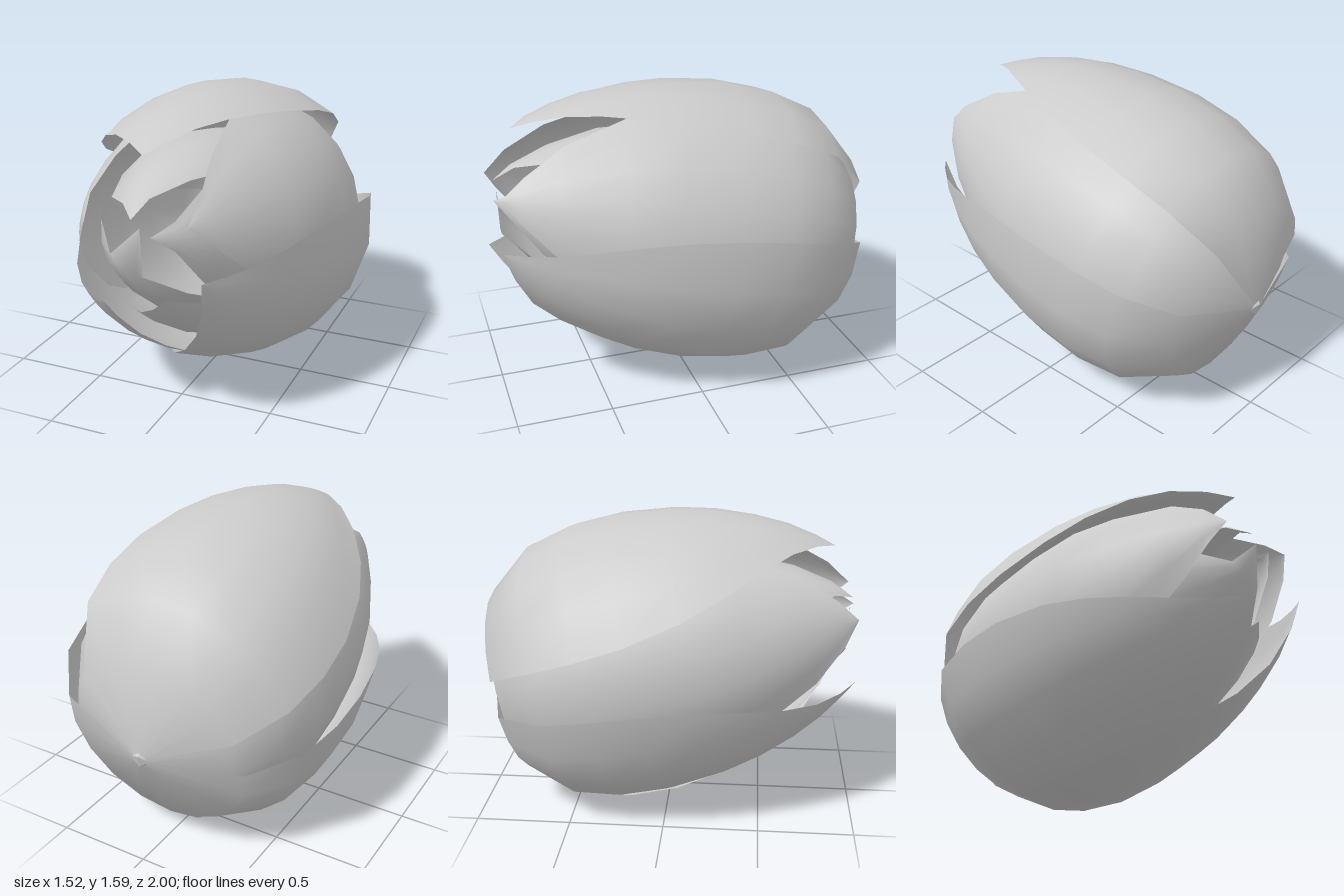
import * as THREE from 'three';

const material = new THREE.MeshStandardMaterial({ color: 0xcccccc, side: THREE.DoubleSide });

// Side profiles of the petal layers: [distance from the stem, radius]
const OUTER = [[0, 0.04], [0.13, 0.515], [0.375, 0.705], [0.63, 0.765], [0.89, 0.772],
  [1.18, 0.735], [1.4, 0.68], [1.6, 0.605], [1.76, 0.525], [1.89, 0.44], [1.98, 0.375]];
const MIDDLE = [[0, 0.04], [0.13, 0.45], [0.375, 0.61], [0.63, 0.67], [0.9, 0.67],
  [1.2, 0.64], [1.45, 0.57], [1.75, 0.44], [1.93, 0.34], [2.02, 0.27]];
const INNER = [[0.02, 0.04], [0.13, 0.36], [0.4, 0.49], [0.8, 0.53], [1.2, 0.51],
  [1.5, 0.44], [1.75, 0.32], [1.93, 0.19], [2.02, 0.09]];
// The innermost petal curls past the axis at its tip
const CORE = [...INNER.slice(0, -1), [2, -0.05]];

// from/to: the arc a petal covers around the axis, tip: where its point lies (degrees).
// blunt: higher stays wide for longer. lean: sideways shift in proportion to radius.
const PETALS = [
  { name: 'outerPetalTop', profile: OUTER, from: 54, to: 162, tip: 93, lean: 0.04 },
  { name: 'outerPetalRight', profile: OUTER, from: -110, to: 15, tip: -26 },
  { name: 'outerPetalLeft', profile: OUTER, scale: 0.985, from: 183, to: 287, tip: 244, length: 0.985 },
  { name: 'middlePetalRight', profile: MIDDLE, scale: 1.03, from: -25, to: 75, tip: 18, blunt: 8 },
  { name: 'middlePetalLeft', profile: MIDDLE, scale: 0.98, from: 111, to: 225, tip: 172, blunt: 8 },
  { name: 'middlePetalBottom', profile: OUTER, scale: 0.86, from: 228, to: 345, tip: 289, blunt: 6, length: 0.93 },
  { name: 'innerPetalTop', profile: INNER, scale: 0.95, from: 46, to: 172, tip: 104, blunt: 8 },
  { name: 'innerPetalRight', profile: INNER, scale: 0.96, from: -58, to: 64, tip: 10, blunt: 8 },
  { name: 'innerPetalBottom', profile: CORE, from: 160, to: 314, tip: 250, blunt: 12 },
];

// Sweeps coarse arcs along a profile, narrowing them to a point at the tip.
function petal({ name, profile, scale = 1, from, to, tip, blunt = 4, lean = 0, length = 1 }) {
  const cols = 6;
  const end = profile[profile.length - 1][0];
  const positions = [];
  const index = [];
  profile.forEach(([s, radius], i) => {
    const r = radius * scale;
    const width = Math.pow(1 - Math.pow(s / end, blunt), 0.85);
    for (let j = 0; j <= cols; j++) {
      const full = THREE.MathUtils.lerp(from, to, j / cols);
      const a = THREE.MathUtils.degToRad(THREE.MathUtils.lerp(tip, full, width));
      positions.push(r * (Math.cos(a) + lean), r * Math.sin(a), s * length);
      if (i < profile.length - 1 && j < cols) {
        const k = i * (cols + 1) + j;
        const n = k + cols + 1;
        index.push(k, k + 1, n, k + 1, n + 1, n);
      }
    }
  });
  const geometry = new THREE.BufferGeometry();
  geometry.setAttribute('position', new THREE.Float32BufferAttribute(positions, 3));
  geometry.setIndex(index);
  geometry.computeVertexNormals();
  const mesh = new THREE.Mesh(geometry, material);
  mesh.name = name;
  return mesh;
}

export function createModel() {
  // The bud lies on its side, its tip raised a little
  const bud = new THREE.Group();
  bud.name = 'flowerBud';
  bud.position.set(0, 0.58, -0.98);
  bud.rotation.x = -0.234;
  for (const spec of PETALS) bud.add(petal(spec));

  // Small faceted stub where the petals meet
  const stub = new THREE.Mesh(
    new THREE.IcosahedronGeometry(0.065, 0),
    new THREE.MeshStandardMaterial({ color: 0xcccccc, flatShading: true }));
  stub.name = 'stemStub';
  stub.position.z = 0.04;
  bud.add(stub);

  const model = new THREE.Group();
  model.add(bud);
  return model;
}
